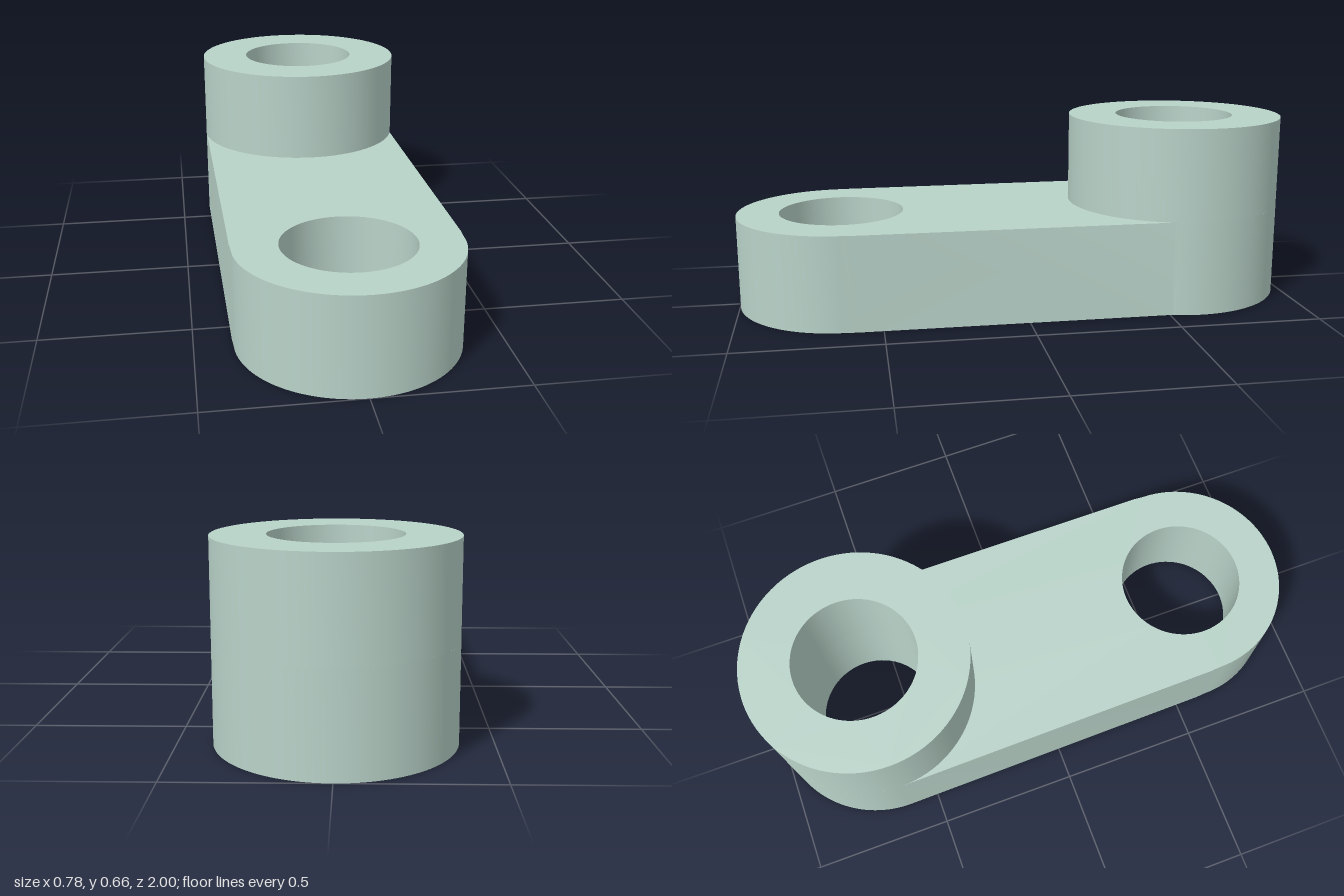
import * as THREE from 'three';
import { toCreasedNormals } from 'three/addons/utils/BufferGeometryUtils.js';

const BOSS = { z: -0.61, r: 0.39, hole: 0.215, top: 0.66 };
const END = { z: 0.628, r: 0.372, hole: 0.222 };
const ARM_TOP = 0.335;

// Circular hole in plan; shape y runs towards the back (-z)
function hole({ z, hole }) {
  return new THREE.Path().absarc(0, -z, hole, 0, Math.PI * 2, true);
}

// Stand a plan shape up between two heights
function prism(name, shape, y0, y1, material) {
  const geometry = new THREE.ExtrudeGeometry(shape, {
    depth: y1 - y0, bevelEnabled: false, curveSegments: 48,
  });
  geometry.rotateX(-Math.PI / 2).translate(0, y0, 0);
  const mesh = new THREE.Mesh(toCreasedNormals(geometry, 0.5), material);
  mesh.name = name;
  return mesh;
}

export function createModel() {
  const group = new THREE.Group();
  group.name = 'crankLink';
  const material = new THREE.MeshStandardMaterial({ color: 0xb9d3c9 });

  // Flat arm: rounded front end, slightly tapered left side, boss outline at the back
  const arm = new THREE.Shape();
  const sideX = 0.375;
  arm.moveTo(END.r, -END.z);
  arm.lineTo(sideX, -END.z + 0.04);
  arm.absarc(0, -BOSS.z, BOSS.r, -Math.acos(sideX / BOSS.r), Math.PI, false);
  arm.lineTo(-sideX, -END.z + 0.04);
  arm.absarc(0, -END.z, END.r, Math.PI, Math.PI * 2, false);
  arm.holes.push(hole(END), hole(BOSS));
  group.add(prism('arm', arm, 0, ARM_TOP, material));

  // Raised round boss with its bore
  const boss = new THREE.Shape();
  boss.absarc(0, -BOSS.z, BOSS.r, 0, Math.PI * 2, false);
  boss.holes.push(hole(BOSS));
  group.add(prism('boss', boss, ARM_TOP, BOSS.top, material));

  return group;
}
